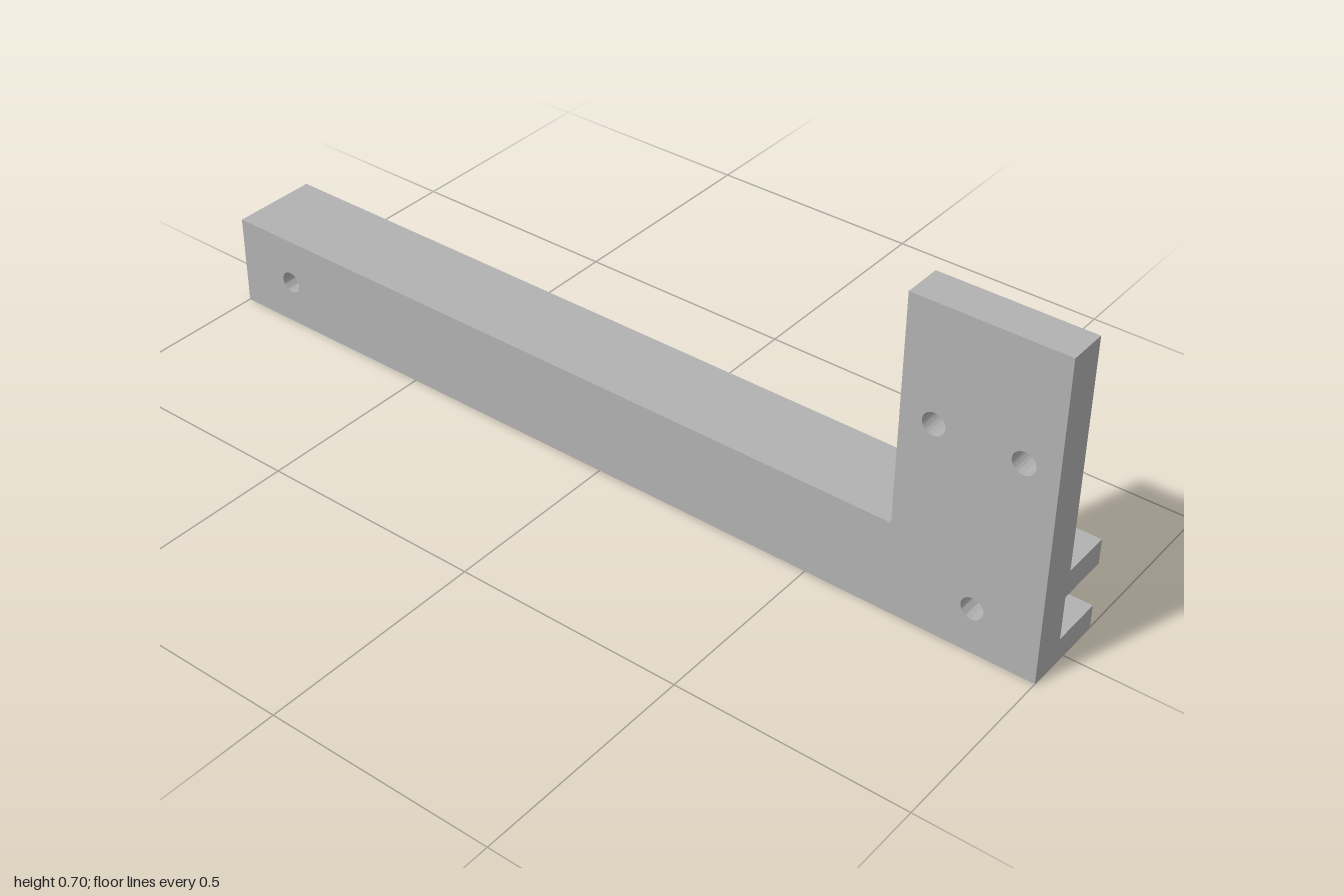
import * as THREE from 'three';
import { toCreasedNormals } from 'three/addons/utils/BufferGeometryUtils.js';

const BACK = -0.098, FRONT = 0.098;      // full width in x
const POCKET = -0.055;                   // floor of the nut pockets
const WEB = -0.02, PLATE = -0.014;       // inner faces of channel and plate
const LOW = 0.052, HIGH = 0.15, RAIL = 0.206, TOP = 0.704;
const PLATE_Z = 0.68;
const railHoles = [[0.86, 0.1], [-0.86, 0.1]];
const plateHoles = [[0.93, 0.458], [0.75, 0.458]];

export function createModel() {
  const group = new THREE.Group();
  const grey = new THREE.MeshStandardMaterial({ color: 0xb2b2b2 });
  grey.name = 'grey';

  // Side outline given as [z, y] points, extruded from x0 to x1
  function slab(name, points, holes, x0, x1) {
    const shape = new THREE.Shape(points.map(([z, y]) => new THREE.Vector2(-z, y)));
    shape.holes.push(...holes);
    const geo = new THREE.ExtrudeGeometry(shape, {
      depth: x1 - x0, bevelEnabled: false, curveSegments: 32,
    });
    geo.rotateY(Math.PI / 2).translate(x0, 0, 0);
    const mesh = new THREE.Mesh(toCreasedNormals(geo, 0.6), grey);
    mesh.name = name;
    group.add(mesh);
  }
  const rect = (z0, z1, y0, y1) => [[z1, y0], [z0, y0], [z0, y1], [z1, y1]];
  const round = ([z, y]) => new THREE.Path().absarc(-z, y, 0.024, 0, Math.PI * 2, true);
  const hex = ([z, y]) => new THREE.Path(Array.from({ length: 6 }, (_, i) => {
    const a = -i * Math.PI / 3;
    return new THREE.Vector2(-z + 0.048 * Math.cos(a), y + 0.048 * Math.sin(a));
  }));

  // Outer skin: rail and upright plate in one L-shaped piece with bolt holes
  slab('outerWall',
    [[1, 0], [-1, 0], [-1, RAIL], [PLATE_Z, RAIL], [PLATE_Z, TOP], [1, TOP]],
    [...railHoles, ...plateHoles].map(round), BACK, POCKET);

  // Channel floor with hexagonal nut pockets
  slab('channelWeb', rect(-1, 1, LOW, HIGH), railHoles.map(hex), POCKET, WEB);

  // Flanges above and below the channel
  slab('lowerFlange', rect(-1, 1, 0, LOW), [], POCKET, FRONT);
  slab('upperFlange', rect(-1, 1, HIGH, RAIL), [], POCKET, FRONT);

  // Inner thickness of the upright mounting plate
  slab('mountingPlate', rect(PLATE_Z, 1, RAIL, TOP), plateHoles.map(round), POCKET, PLATE);

  return group;
}
